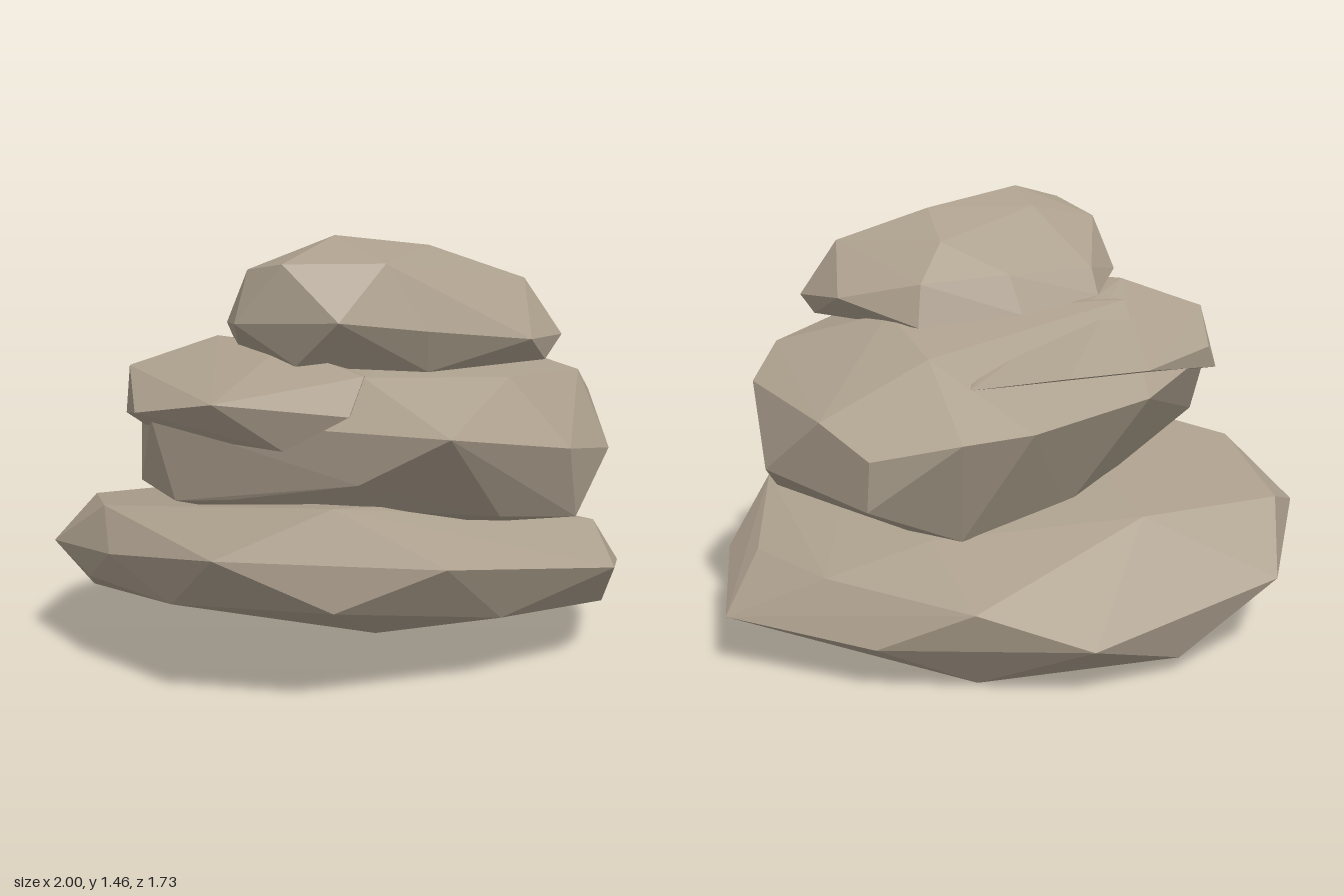
import * as THREE from 'three';
import { ConvexGeometry } from 'three/addons/geometries/ConvexGeometry.js';

const stone = new THREE.MeshStandardMaterial({ color: 0xac9f8d, flatShading: true });
stone.name = 'warm grey stone';

// A chiselled boulder: the convex skin around a few corner points.
function boulder(name, corners) {
  const mesh = new THREE.Mesh(
    new ConvexGeometry(corners.map((c) => new THREE.Vector3(...c))), stone);
  mesh.name = name;
  return mesh;
}

export function createModel() {
  const group = new THREE.Group();
  group.name = 'stackedStones';

  // Wide base slab, tilted up toward the front
  group.add(boulder('baseStone', [
    // upper edge
    [-0.05, 0.66, 0.77], [-0.42, 0.52, 0.85], [0.3, 0.47, 0.8], [-0.8, 0.55, 0.25],
    [0.57, 0.54, 0.2], [0.87, 0.46, 0.15], [0.64, 0.33, -0.59], [0.3, 0.42, -0.5],
    [-0.4, 0.47, -0.45], [-0.88, 0.47, -0.26], [0.88, 0.33, -0.29],
    // rim
    [-1, 0.37, 0.02], [-0.77, 0.43, 0.43], [-0.86, 0.29, 0.2], [-0.84, 0.27, -0.52],
    [-0.2, 0.17, -0.87], [0.17, 0.29, -0.84], [0.48, 0.15, -0.76], [0.97, 0.18, -0.52],
    [1, 0.26, -0.05], [0.89, 0.37, 0.44], [0.5, 0.24, 0.56], [0.9, 0.18, 0.19],
    // underside
    [-0.05, 0.34, 0.82], [-0.56, 0.31, 0.6], [-0.89, 0.15, -0.18], [0.86, 0.1, -0.22],
    [-0.5, 0.05, -0.64], [-0.25, 0.02, -0.3], [0.04, 0.04, 0.04], [0.4, 0.0, -0.3],
    [0.16, 0.01, -0.71], [0.1, 0.16, 0.46],
  ]));

  // Middle boulder, leaning back
  group.add(boulder('middleStone', [
    // top
    [0.52, 1.02, 0.5], [0.43, 1.09, -0.08], [0.05, 1.04, 0.62], [-0.4, 1.09, 0.1],
    [0.82, 0.97, 0.05], [0.3, 1.0, -0.4],
    // girdle
    [0.3, 0.89, 0.86], [0.71, 0.8, 0.57], [0.91, 0.72, 0.18], [0.89, 0.87, -0.12],
    [0.84, 0.62, -0.33], [0.65, 0.83, -0.53], [0.49, 0.74, -0.68], [0.2, 0.79, -0.69],
    [-0.03, 0.8, -0.61], [-0.43, 0.84, -0.33], [-0.68, 0.9, 0.05], [-0.62, 0.89, 0.48],
    // underside
    [0.03, 0.72, 0.72], [0.49, 0.58, 0.57], [0.76, 0.54, 0.42], [0.83, 0.47, -0.02],
    [-0.55, 0.61, 0.44], [-0.67, 0.645, 0.28], [-0.37, 0.63, 0.52], [0.05, 0.62, 0.62],
    [0.2, 0.5, 0.38], [-0.35, 0.55, 0.35], [0.5, 0.57, -0.66], [0.2, 0.42, -0.52],
    [0.35, 0.4, -0.37], [-0.16, 0.45, -0.28],
  ]));

  // Overhanging ledge wrapping the front left of the middle boulder
  group.add(boulder('middleLedge', [
    [-0.7, 1.03, 0.28], [-0.41, 1.13, 0.3], [-0.2, 1.12, 0.48], [0.05, 1.05, 0.66],
    [0, 0.94, 0.75], [-0.42, 0.97, 0.69], [-0.2, 0.82, 0.68], [-0.67, 0.91, 0.49],
    [-0.73, 0.84, 0.11], [-0.6, 0.83, 0.42], [-0.2, 0.85, 0.1], [-0.69, 0.93, 0.04],
    [-0.43, 0.93, -0.31], [-0.15, 0.94, -0.45], [0.17, 0.925, -0.52],
  ]));

  // Small capstone
  group.add(boulder('topStone', [
    // top
    [-0.2, 1.39, 0.6], [0.12, 1.39, 0.59], [-0.03, 1.46, 0.37], [0.29, 1.41, 0.17],
    [-0.08, 1.41, 0.2], [-0.31, 1.35, 0.36], [0.61, 1.3, 0.17], [0.25, 1.32, -0.02],
    // girdle
    [-0.03, 1.22, 0.7], [-0.35, 1.2, 0.55], [-0.38, 1.17, 0.28], [-0.27, 1.22, 0.02],
    [0.02, 1.22, -0.11], [0.32, 1.2, -0.16], [0.6, 1.14, -0.07], [0.74, 1.11, 0.17],
    [0.6, 1.13, 0.43], [0.25, 1.18, 0.6],
    // underside
    [-0.16, 1.07, 0.58], [-0.34, 1.09, 0.35], [0.26, 1.04, 0.52], [0.67, 1.04, 0.27],
    [0.69, 1.05, 0.13], [-0.29, 1.13, -0.02], [-0.02, 1.09, -0.15], [0.33, 1.06, -0.2],
  ]));

  return group;
}
